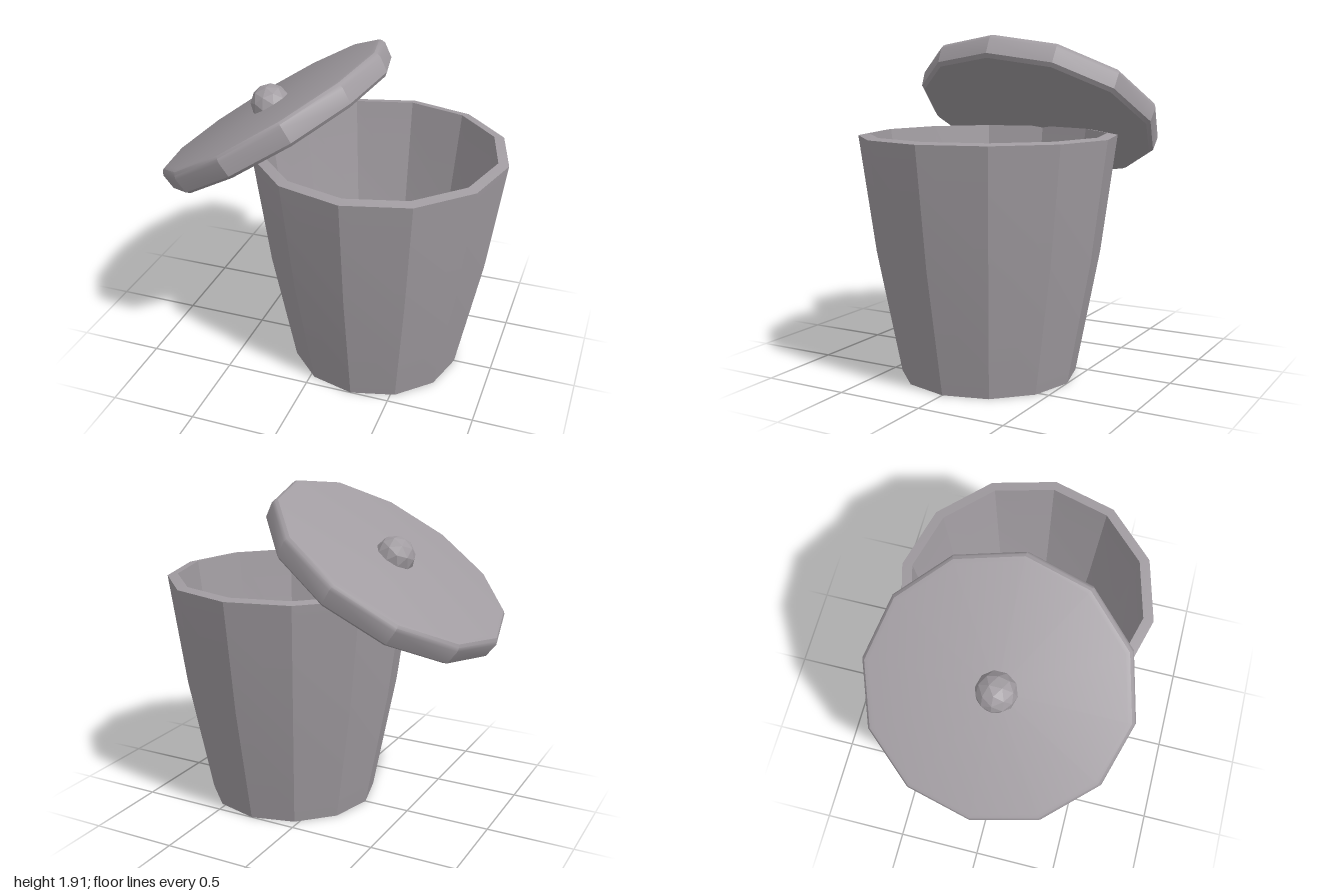
import * as THREE from 'three';
import { toCreasedNormals } from 'three/addons/utils/BufferGeometryUtils.js';

const SIDES = 12;
const CREASE = THREE.MathUtils.degToRad(25);

// Twelve-sided solid of revolution from [radius, height] pairs,
// smooth over the shallow bends and sharp between the side panels
function turned(name, profile, material) {
  const points = profile.map(([r, y]) => new THREE.Vector2(r, y));
  const geometry = toCreasedNormals(new THREE.LatheGeometry(points, SIDES), CREASE);
  const mesh = new THREE.Mesh(geometry, material);
  mesh.name = name;
  return mesh;
}

export function createModel() {
  const model = new THREE.Group();
  model.name = 'binWithLid';
  const grey = new THREE.MeshStandardMaterial({ color: 0xa19ca1 });
  const facetedGrey = new THREE.MeshStandardMaterial({ color: 0xa19ca1, flatShading: true });

  // Hollow tapered bin: base, outer wall, rim, inner wall, floor
  const bin = turned('bin', [
    [0, 0], [0.5, 0], [0.635, 0.7], [0.725, 1.36],
    [0.665, 1.37], [0.58, 0.7], [0.455, 0.05], [0, 0.05],
  ], grey);
  bin.position.x = 0.275;
  model.add(bin);

  // Lid resting tilted on the rim, with a rounded upper edge
  const lid = new THREE.Group();
  lid.name = 'lid';
  lid.position.set(-0.315, 1.416, 0);
  lid.rotation.z = THREE.MathUtils.degToRad(32.1);
  lid.add(turned('lidDisc', [
    [0, -0.008], [0.71, -0.008], [0.732, 0.01], [0.742, 0.1],
    [0.735, 0.12], [0.722, 0.134], [0.7, 0.14], [0, 0.14],
  ], grey));

  // Knob half sunk into the lid's top, one vertex pointing straight up
  const knob = new THREE.Mesh(new THREE.IcosahedronGeometry(0.115, 1), facetedGrey);
  knob.name = 'knob';
  knob.position.y = 0.14;
  knob.rotation.z = THREE.MathUtils.degToRad(31.7);
  lid.add(knob);
  model.add(lid);

  return model;
}
